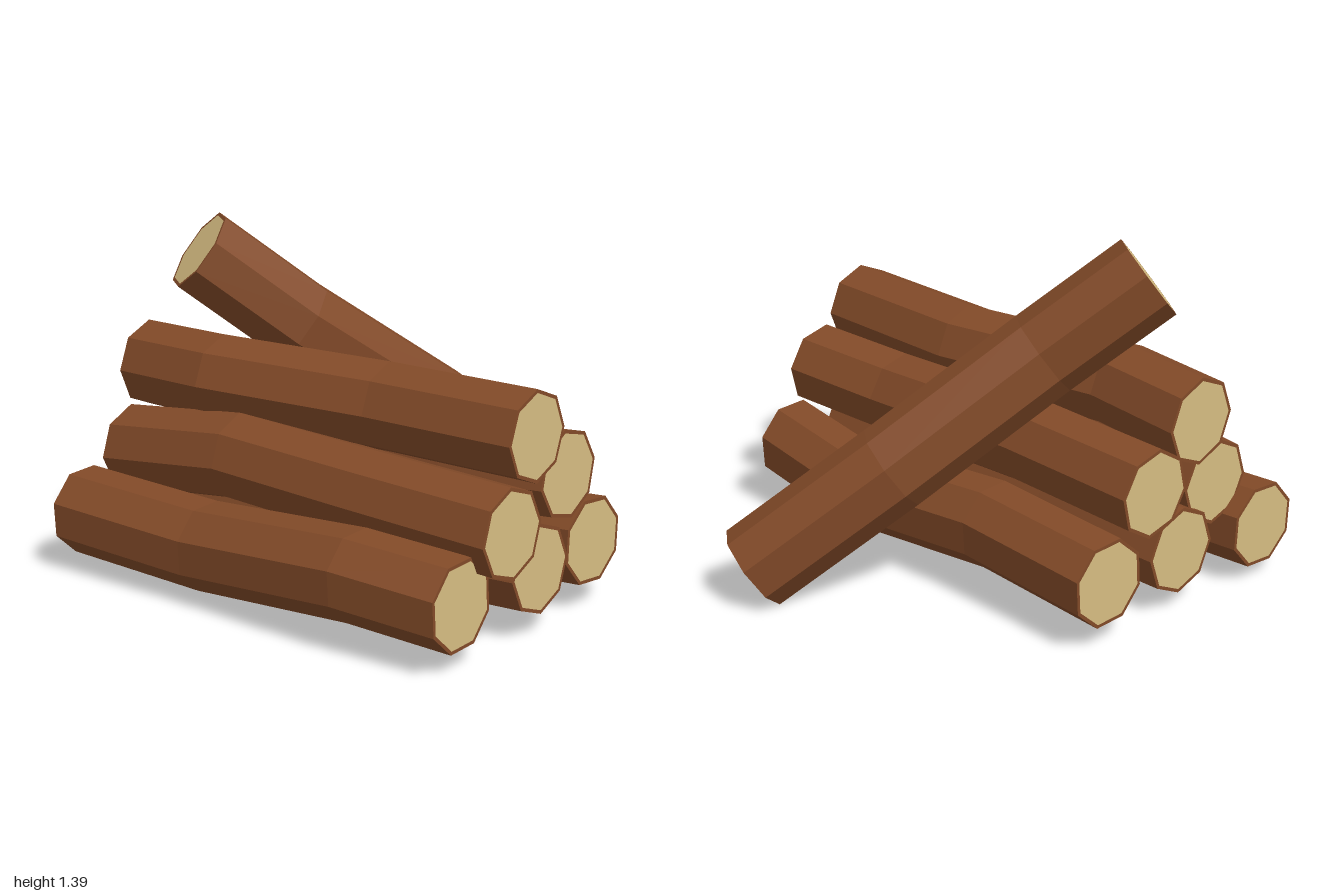
import * as THREE from 'three';

const SIDES = 8;
const RADIUS = 0.177;
const RIM = 0.92; // share of the radius taken by the pale cut wood

const bark = new THREE.MeshStandardMaterial({ color: 0x824a28, flatShading: true });
const wood = new THREE.MeshStandardMaterial({ color: 0xd6bd82, flatShading: true });

// Surface through a list of rings, each with the same number of points
function loft(rings) {
  const pos = [];
  const idx = [];
  rings.forEach(ring => ring.forEach(p => pos.push(p.x, p.y, p.z)));
  for (let i = 0; i < rings.length - 1; i++) {
    for (let j = 0; j < SIDES; j++) {
      const k = (j + 1) % SIDES;
      const a = i * SIDES + j, b = i * SIDES + k;
      idx.push(a, b, a + SIDES, b, b + SIDES, a + SIDES);
    }
  }
  const indexed = new THREE.BufferGeometry();
  indexed.setAttribute('position', new THREE.Float32BufferAttribute(pos, 3));
  indexed.setIndex(idx);
  const geo = indexed.toNonIndexed();
  geo.computeVertexNormals();
  return geo;
}

// Crooked log along four centre points (first = back end, last = front end)
function makeLog(name, points, turn) {
  const centres = points.map(p => new THREE.Vector3(...p));
  const last = centres.length - 1;
  const axis = centres[last].clone().sub(centres[0]).normalize();
  const u = new THREE.Vector3(0, 1, 0).cross(axis).normalize();
  const v = axis.clone().cross(u);

  const ring = (c, r) => Array.from({ length: SIDES }, (_, j) => {
    const a = THREE.MathUtils.degToRad(turn) + (j / SIDES) * Math.PI * 2;
    return c.clone().addScaledVector(u, r * Math.cos(a)).addScaledVector(v, r * Math.sin(a));
  });

  const log = new THREE.Group();
  log.name = name;
  const add = (part, rings, material) => {
    const mesh = new THREE.Mesh(loft(rings), material);
    mesh.name = part;
    log.add(mesh);
  };

  // Bark sleeve, folded over both ends as a thin rim
  const backRim = ring(centres[0], RADIUS * RIM);
  const frontRim = ring(centres[last], RADIUS * RIM);
  add('bark', [backRim, ...centres.map(c => ring(c, RADIUS)), frontRim], bark);

  // Cut faces
  add('backCut', [ring(centres[0], 0), backRim], wood);
  add('frontCut', [frontRim, ring(centres[last], 0)], wood);
  return log;
}

export function createModel() {
  const model = new THREE.Group();
  model.name = 'logPile';

  const logs = [
    // Bottom row
    ['bottomRightLog', 25, [[-0.795, 0.23, -0.965], [-0.765, 0.21, -0.3], [-0.785, 0.275, 0.48], [-0.738, 0.25, 0.93]]],
    ['bottomMiddleLog', 2, [[-0.34, 0.25, -0.95], [-0.345, 0.24, -0.3], [-0.3, 0.24, 0.35], [-0.275, 0.265, 0.93]]],
    ['bottomLeftLog', 18, [[0.095, 0.26, -0.99], [0.08, 0.285, -0.35], [0.122, 0.23, 0.46], [0.095, 0.273, 0.9]]],
    // Middle row
    ['middleRightLog', 3, [[-0.575, 0.455, -0.9], [-0.565, 0.525, -0.3], [-0.55, 0.5, 0.35], [-0.525, 0.475, 0.99]]],
    ['middleLeftLog', 8, [[-0.13, 0.56, -1.0], [-0.135, 0.575, -0.35], [-0.128, 0.55, 0.45], [-0.07, 0.575, 0.9]]],
    // Top of the pile
    ['topLog', 0, [[-0.415, 0.765, -0.96], [-0.45, 0.782, -0.5], [-0.325, 0.772, 0.25], [-0.32, 0.782, 0.94]]],
    // Log leaning on the pile
    ['leaningLog', 22.5, [[-0.41, 1.27, -0.67], [-0.11, 0.965, -0.41], [0.42, 0.55, -0.13], [0.84, 0.14, 0.21]]],
  ];
  logs.forEach(([name, turn, points]) => model.add(makeLog(name, points, turn)));
  return model;
}
